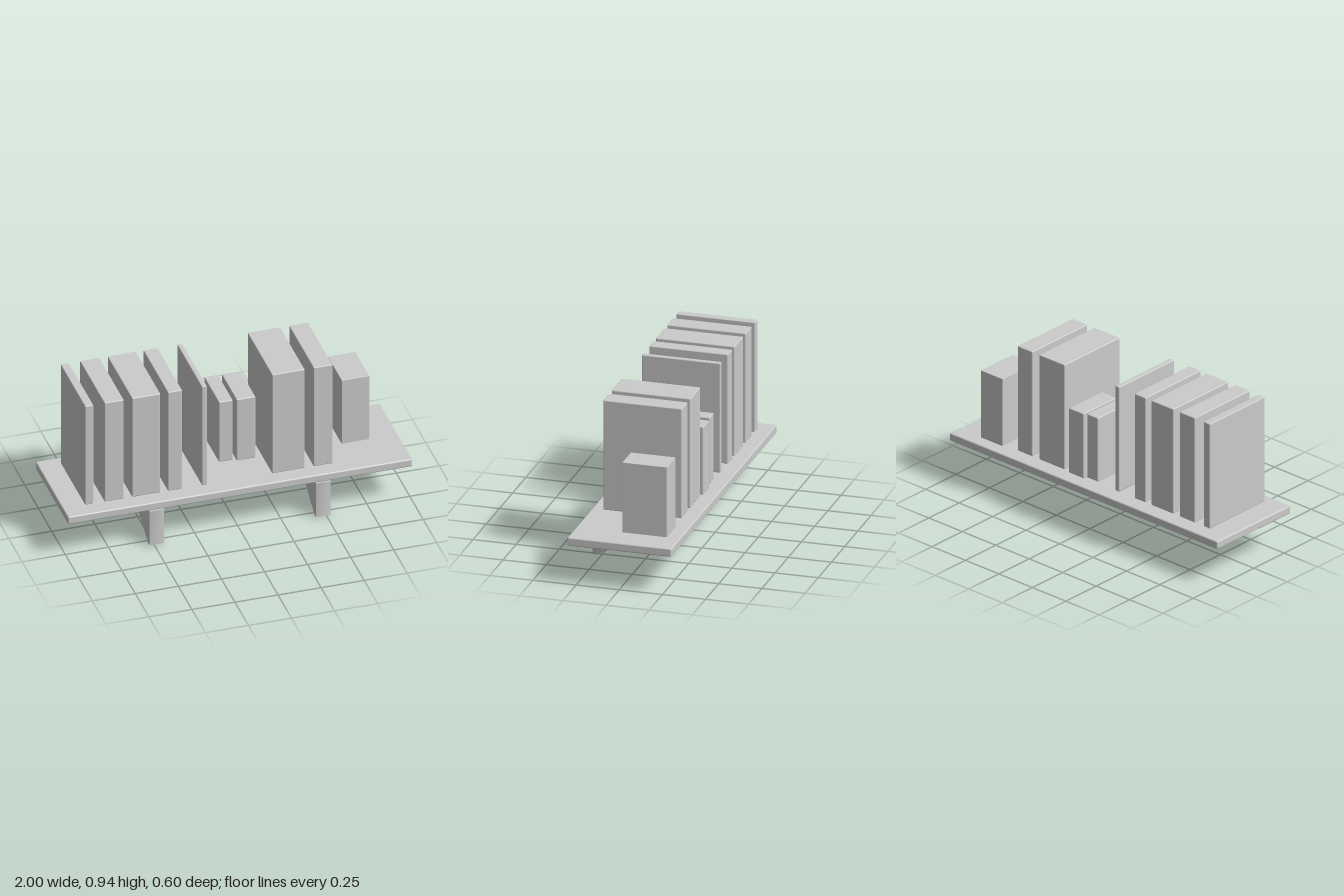
import * as THREE from 'three';
import { RoundedBoxGeometry } from 'three/addons/geometries/RoundedBoxGeometry.js';
import { toCreasedNormals } from 'three/addons/utils/BufferGeometryUtils.js';

const material = new THREE.MeshStandardMaterial({ color: 0xcccccc });

// Box with softened edges, given by its extents on each axis
function softBox(name, [x0, x1], [y0, y1], [z0, z1], radius = 0.006) {
  const geometry = new RoundedBoxGeometry(x1 - x0, y1 - y0, z1 - z0, 2, radius);
  const mesh = new THREE.Mesh(geometry, material);
  mesh.name = name;
  mesh.position.set((x0 + x1) / 2, (y0 + y1) / 2, (z0 + z1) / 2);
  return mesh;
}

// Wedge-shaped support: side outline in (z, y), extruded across x
function bracket(name, x) {
  const outline = new THREE.Shape([
    [0.302, 0.224], [0.302, 0.003], [0.279, 0.001], [-0.048, 0.199], [-0.048, 0.224],
  ].map(([z, y]) => new THREE.Vector2(z, y)));
  const bevel = 0.005, width = 0.088;
  const geometry = new THREE.ExtrudeGeometry(outline, {
    depth: width - 2 * bevel,
    bevelThickness: bevel, bevelSize: bevel, bevelOffset: -bevel, bevelSegments: 2,
  });
  geometry.translate(0, 0, bevel - width / 2);
  geometry.rotateY(-Math.PI / 2);
  const mesh = new THREE.Mesh(toCreasedNormals(geometry, 0.6), material);
  mesh.name = name;
  mesh.position.x = x;
  return mesh;
}

export function createModel() {
  const group = new THREE.Group();
  group.name = 'bookshelf';

  // Board and its two supports
  group.add(softBox('shelfBoard', [-1, 1], [0.228, 0.277], [-0.302, 0.302], 0.008));
  group.add(bracket('rightBracket', -0.485), bracket('leftBracket', 0.482));

  // Tall books, spines at the front
  const tall = [
    [-0.878, -0.829], [-0.765, -0.652], [-0.605, -0.44], [-0.397, -0.314],
    [-0.2, -0.17], [0.208, 0.398], [0.449, 0.56],
  ];
  tall.forEach((x, i) => group.add(softBox(`tallBook${i + 1}`, x, [0.288, 0.938], [-0.228, 0.228])));

  // Short books pushed to the back
  group.add(softBox('shortBook1', [-0.043, 0.038], [0.298, 0.693], [-0.23, 0.043]));
  group.add(softBox('shortBook2', [0.061, 0.171], [0.285, 0.687], [-0.234, 0.039]));

  // Sharp-edged box at the end, standing on the board
  group.add(softBox('endBox', [0.673, 0.834], [0.272, 0.693], [-0.226, 0.033], 0.003));

  return group;
}
